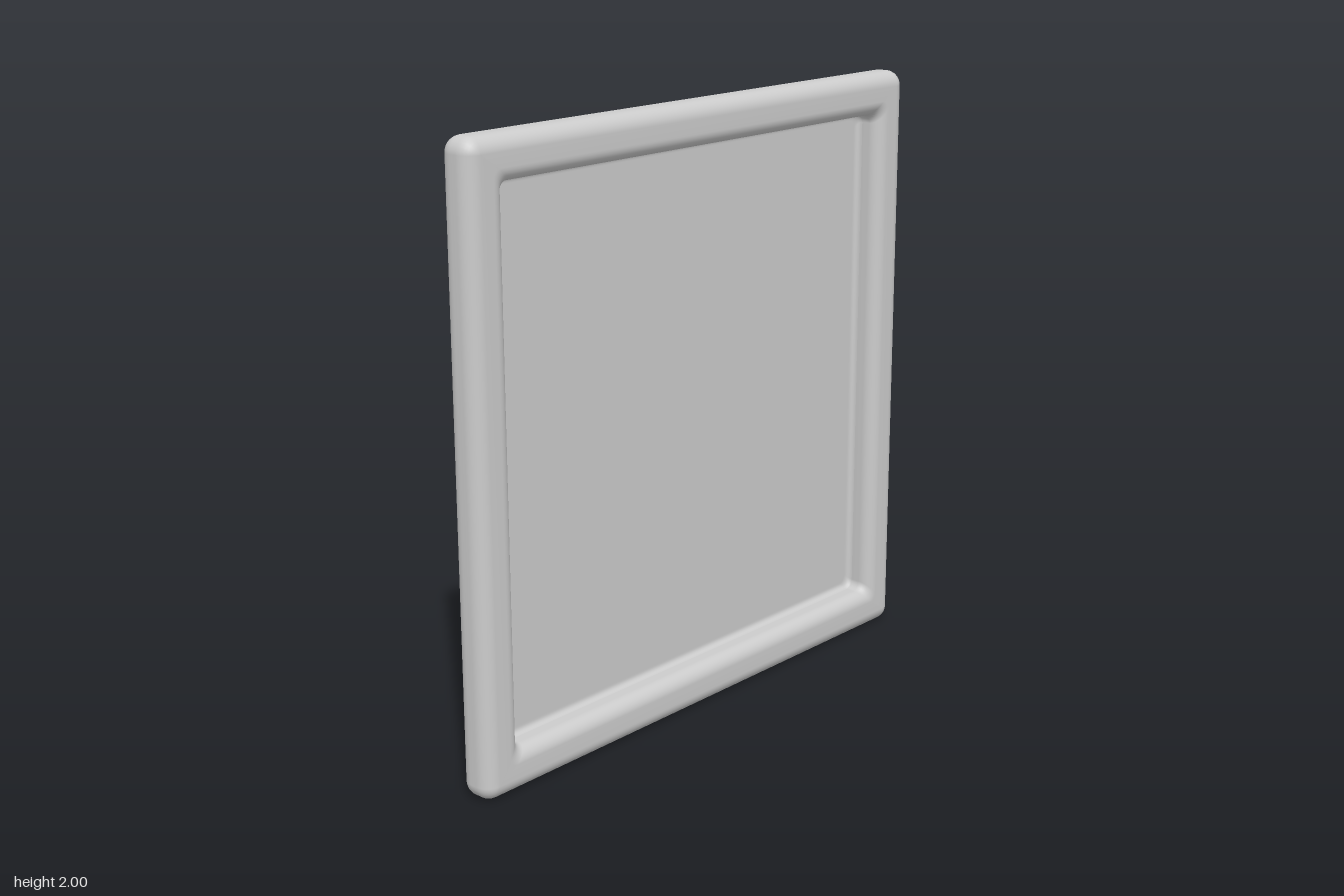
import * as THREE from 'three';

const DEPTH = 0.0625; // half thickness
const EDGE = 0.05; // outer edge rounding
const CORNER_STEPS = 6;

// Rounded square outline, counter-clockwise seen from +z
function outline(half, radius, z) {
  const r = Math.min(radius, half);
  const points = [];
  for (let c = 0; c < 4; c++) {
    const mid = Math.PI / 4 + c * Math.PI / 2;
    const cx = Math.sign(Math.cos(mid)) * (half - r);
    const cy = Math.sign(Math.sin(mid)) * (half - r);
    for (let i = 0; i <= CORNER_STEPS; i++) {
      const a = (c + i / CORNER_STEPS) * Math.PI / 2;
      points.push(cx + r * Math.cos(a), cy + r * Math.sin(a), z);
    }
  }
  return points;
}

// Skin a list of [half width, corner radius, z] outlines
function skin(rings) {
  const n = 4 * (CORNER_STEPS + 1);
  const positions = rings.flatMap(([half, radius, z]) => outline(half, radius, z));
  const index = [];
  for (let k = 0; k < rings.length - 1; k++) {
    for (let i = 0; i < n; i++) {
      const j = (i + 1) % n;
      const a = k * n + i, b = k * n + j, c = a + n, d = b + n;
      index.push(a, b, d, a, d, c);
    }
  }
  const geometry = new THREE.BufferGeometry();
  geometry.setAttribute('position', new THREE.Float32BufferAttribute(positions, 3));
  geometry.setIndex(index);
  geometry.computeVertexNormals();
  return geometry;
}

// Quarter arc of rings, from angle a0 to a1 around (half, z)
function arc(half, z, r, a0, a1, corner, steps = 8) {
  return Array.from({ length: steps + 1 }, (_, i) => {
    const a = a0 + (a1 - a0) * i / steps;
    return [half + r * Math.cos(a), corner(a), z + r * Math.sin(a)];
  });
}

export function createModel() {
  const group = new THREE.Group();
  const material = new THREE.MeshStandardMaterial({ color: 0xcccccc });
  const add = (name, geometry) => {
    const mesh = new THREE.Mesh(geometry, material);
    mesh.name = name;
    mesh.position.y = 1;
    group.add(mesh);
  };

  const H = Math.PI / 2;
  const outerCorner = (a) => Math.max(EDGE * Math.cos(a), 0.0005);
  const innerCorner = () => 0.03;
  const lip = 0.045;
  const opening = 0.86;

  // Frame with flat back, rounded rim and rounded inner lip
  add('frame', skin([
    [0, 0, -DEPTH],
    [0.94, 0.0005, -DEPTH],
    ...arc(1 - EDGE, -DEPTH + EDGE, EDGE, -H, 0, outerCorner),
    ...arc(1 - EDGE, DEPTH - EDGE, EDGE, 0, H, outerCorner),
    ...arc(opening + lip, DEPTH - lip, lip, H, 2 * H, innerCorner),
    [opening, 0.03, -0.012],
  ]));

  // Recessed panel with a small cove where it meets the frame
  const cove = 0.018;
  add('panel', skin([
    ...arc(opening - cove, -0.012, cove, 0, -H, innerCorner, 5),
    [opening - cove - 0.005, 0.025, -0.03],
    [0, 0, -0.03],
  ]));

  return group;
}
